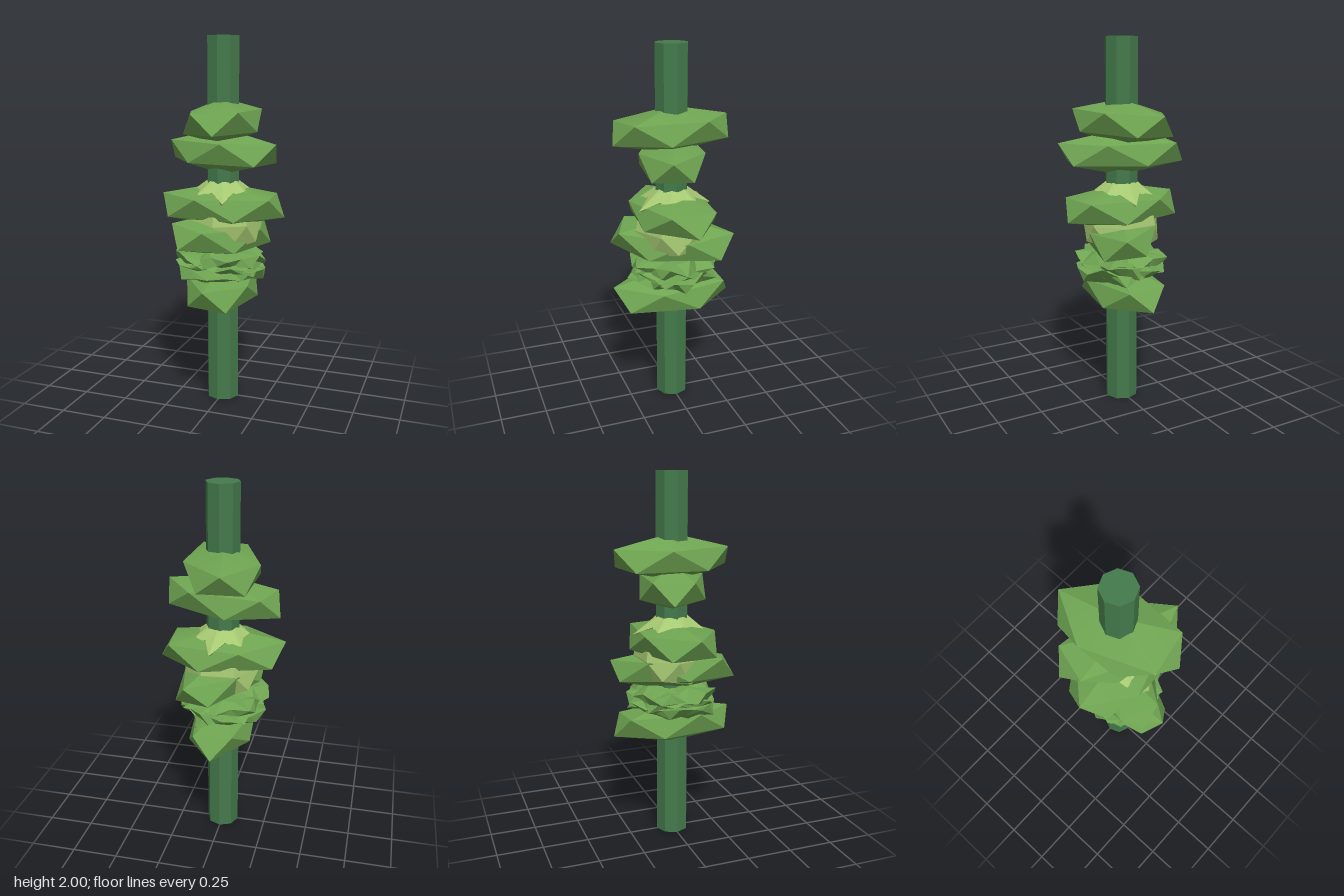
import * as THREE from 'three';
import { toCreasedNormals } from 'three/addons/utils/BufferGeometryUtils.js';

// Small seeded generator for the crumpled parts
function seeded(seed) {
  let s = seed;
  return () => (s = (s * 16807) % 2147483647) / 2147483647;
}

// Skin a list of rings (top to bottom, counter-clockwise from above)
function loft(rings, crease) {
  const pos = [];
  const tri = (a, b, c) => {
    const n = b.clone().sub(a).cross(c.clone().sub(a));
    if (n.length() > 1e-8) for (const p of [a, b, c]) pos.push(p.x, p.y, p.z);
  };
  for (let i = 0; i < rings.length - 1; i++) {
    const top = rings[i], low = rings[i + 1], n = top.length;
    for (let k = 0; k < n; k++) {
      const j = (k + 1) % n;
      tri(top[k], low[k], top[j]);
      tri(low[k], low[j], top[j]);
    }
  }
  const g = new THREE.BufferGeometry();
  g.setAttribute('position', new THREE.Float32BufferAttribute(pos, 3));
  g.computeVertexNormals();
  return crease ? toCreasedNormals(g, crease) : g;
}

// One ring of n points; radius and height may depend on the index
function ring(n, r, y, turn = 0) {
  const val = (v, k) => (typeof v === 'function' ? v(k) : v);
  return Array.from({ length: n }, (_, k) => {
    const a = ((k + turn) / n) * Math.PI * 2;
    return new THREE.Vector3(val(r, k) * Math.cos(a), val(y, k), -val(r, k) * Math.sin(a));
  });
}

// Flattened twenty-sided chunk spanned by two horizontal axes u and w,
// its height leaning along x by the tilt
function chunkGeometry([ux, uz], [wx, wz], tilt) {
  const rings = [ring(5, 0, 0.123), ring(5, 1, 0.055), ring(5, 1, -0.055, 0.5), ring(5, 0, -0.123)];
  for (const p of rings.flat()) {
    const x = ux * p.x + wx * p.z, z = uz * p.x + wz * p.z;
    p.set(x, p.y + tilt * x, z);
  }
  return loft(rings, 0.4);
}

// Thin crumpled leaf with a jagged rim
function crumpledGeometry(seed) {
  const rnd = seeded(seed), n = 16;
  const noise = (base, amp) => {
    const t = Array.from({ length: n }, () => base + (rnd() - 0.5) * amp);
    return (k) => t[k];
  };
  const layer = (r, amp, y, wobble, turn) => ring(n, noise(r, amp), noise(y, wobble), turn);
  return loft([
    ring(n, 0, 0.045),
    layer(0.16, 0.06, 0.04, 0.035, 0),
    layer(0.226, 0.075, 0.015, 0.06, 0.5),
    layer(0.22, 0.08, -0.018, 0.05, 1),
    layer(0.16, 0.05, -0.04, 0.035, 1.5),
    ring(n, 0, -0.045),
  ]);
}

export function createModel() {
  const group = new THREE.Group();
  const mat = (name, color) => {
    const m = new THREE.MeshStandardMaterial({ color });
    m.name = name;
    return m;
  };
  const stemGreen = mat('stem green', 0x447a4b);
  const leafGreen = mat('leaf green', 0x6fa552);
  const paleGreen = mat('pale green', 0xa6c972);

  const add = (name, geometry, material, y, turn = 0) => {
    const mesh = new THREE.Mesh(geometry, material);
    mesh.name = name;
    mesh.position.y = y;
    mesh.rotation.y = turn;
    group.add(mesh);
  };

  // Eight-sided pole
  const pole = new THREE.CylinderGeometry(0.09, 0.09, 2, 8).toNonIndexed();
  pole.computeVertexNormals();
  add('pole', pole, stemGreen, 1);

  // Chunks: height, long axis, short axis (a quarter turn from x towards z), tilt
  const chunks = [
    [1.557, [-0.06, -0.337], [0.203, -0.037], 0.04],
    [1.398, [0.324, 0.104], [-0.053, 0.174], 0],
    [1.105, [-0.338, 0.035], [-0.022, -0.217], 0],
    [0.947, [0.14, -0.312], [0.172, 0.075], -0.12],
    [0.645, [0.005, 0.339], [-0.182, 0.002], -0.08],
  ];
  chunks.forEach(([y, u, w, tilt], i) =>
    add('leafChunk' + (i + 1), chunkGeometry(u, w, tilt), leafGreen, y));

  // Crumpled layers between the lower chunks
  [0.75, 0.785, 0.82].forEach((y, i) =>
    add('crumpledLeaf' + (i + 1), crumpledGeometry(71 + i * 137), leafGreen, y, i * 0.7));

  // Pale core: pointed cap lying over the middle chunk, broad drum below it
  const tips = (out, inn) => (k) => (k % 2 ? inn : out);
  add('paleCap', loft([
    ring(14, 0, 0.2),
    ring(14, 0.075, 0.2),
    ring(14, tips(0.215, 0.13), tips(0.095, 0.14)),
    ring(14, 0.11, 0.06),
    ring(14, 0, 0.06),
  ], 0.5), paleGreen, 1.05, -1.25);
  add('paleDrum', loft([
    ring(7, 0, 0.05),
    ring(7, 0.2, 0.02),
    ring(7, 0.21, -0.03),
    ring(7, tips(0.2, 0.17), tips(-0.13, -0.16), 0.5),
    ring(7, 0, -0.18),
  ]), paleGreen, 1.05, 0.3);

  return group;
}
